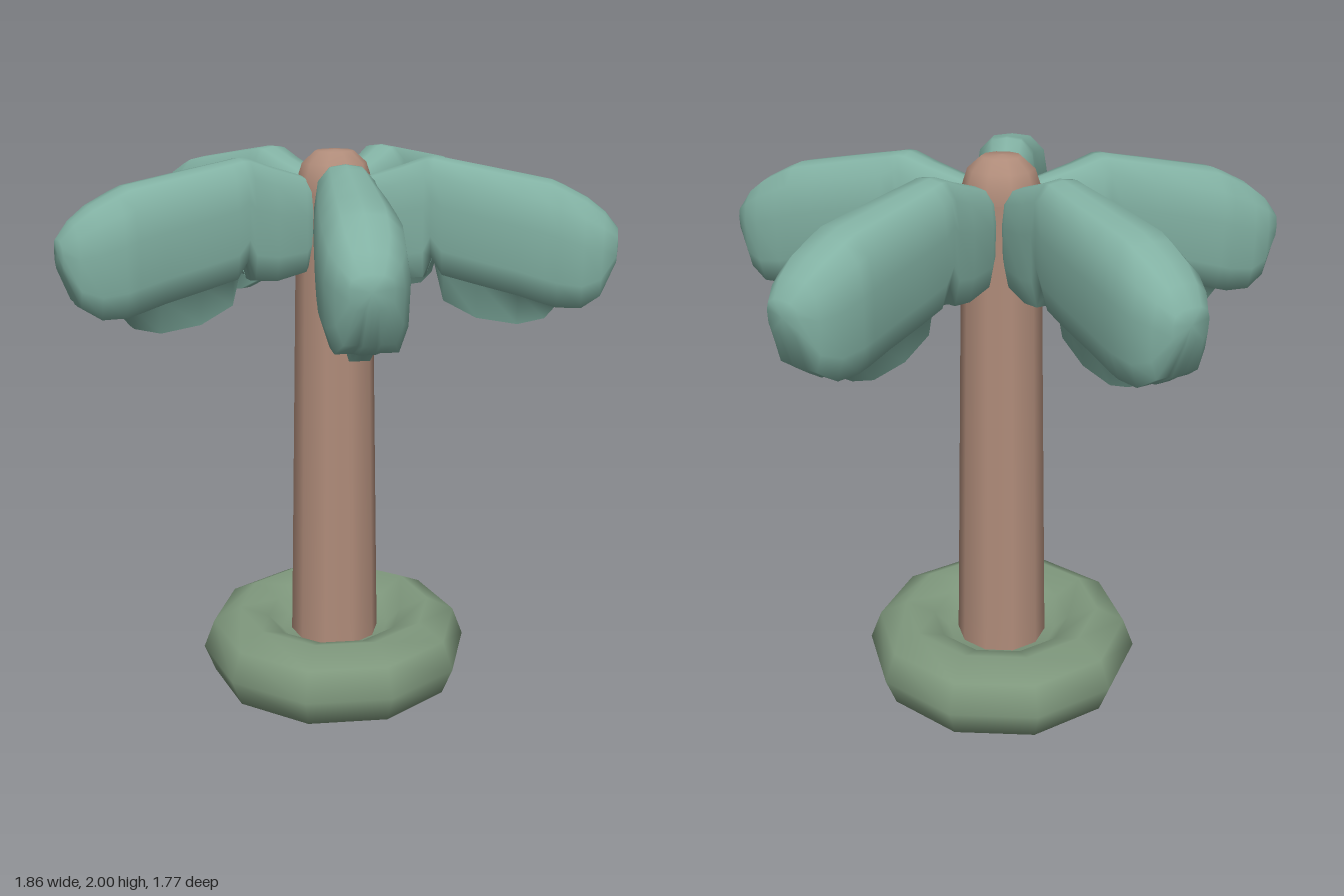
import * as THREE from 'three';

const mat = (name, color) => {
  const m = new THREE.MeshStandardMaterial({ color });
  m.name = name;
  return m;
};

// Turned part with ten sides, corners on the x axis
function turned(name, points, material) {
  const profile = points.map(([r, y]) => new THREE.Vector2(r, y));
  const mesh = new THREE.Mesh(new THREE.LatheGeometry(profile, 10, Math.PI / 2), material);
  mesh.name = name;
  return mesh;
}

// Stations along a frond: distance, half width, top, lower edge of pod, bottom of keel
const STATIONS = [
  [0.05, 0.045, 1.88, 1.74, 1.74],
  [0.13, 0.075, 1.92, 1.60, 1.59],
  [0.24, 0.09, 1.955, 1.58, 1.57],
  [0.32, 0.10, 1.985, 1.59, 1.58],
  [0.345, 0.102, 1.985, 1.66, 1.65],
  [0.385, 0.107, 1.978, 1.60, 1.50],
  [0.50, 0.12, 1.958, 1.575, 1.445],
  [0.64, 0.13, 1.933, 1.545, 1.43],
  [0.73, 0.134, 1.917, 1.52, 1.455],
  [0.77, 0.132, 1.90, 1.51, 1.505],
  [0.85, 0.125, 1.86, 1.51, 1.505],
  [0.91, 0.10, 1.815, 1.55, 1.545],
  [0.955, 0.065, 1.76, 1.66, 1.655],
];

// Half outline of a frond: rounded pod above a narrow keel
function section([, w, t, f, b]) {
  const h = t - f;
  const half = [
    [0.5 * w, t - 0.02 * h], [0.88 * w, t - 0.15 * h], [w, t - 0.4 * h],
    [0.96 * w, f + 0.22 * h], [0.75 * w, f], [0.32 * w, f], [0.2 * w, b],
  ];
  const left = half.map(([x, y]) => [-x, y]);
  return [[0, t], ...left, [0, b], ...half.reverse()];
}

function frondGeometry() {
  const pos = [];
  const index = [];
  const rings = STATIONS.map(section);
  const n = rings[0].length;
  rings.forEach((ring, i) => ring.forEach(([x, y]) => pos.push(x, y, STATIONS[i][0])));
  for (let i = 0; i < rings.length - 1; i++) {
    for (let j = 0; j < n; j++) {
      const k = (j + 1) % n;
      const a = i * n + j, b = i * n + k, c = b + n, d = a + n;
      index.push(a, b, c, a, c, d);
    }
  }
  // Close the root and the tip
  for (const i of [0, rings.length - 1]) {
    const [r, , t, f] = STATIONS[i];
    const centre = pos.length / 3;
    pos.push(0, (t + f) / 2, r + (i ? 0.003 : 0));
    for (let j = 0; j < n; j++) {
      const a = i * n + j, b = i * n + (j + 1) % n;
      if (i) index.push(centre, a, b);
      else index.push(centre, b, a);
    }
  }
  const g = new THREE.BufferGeometry();
  g.setAttribute('position', new THREE.Float32BufferAttribute(pos, 3));
  g.setIndex(index);
  g.computeVertexNormals();
  return g;
}

export function createModel() {
  const model = new THREE.Group();
  model.name = 'palmTree';
  const bark = mat('bark brown', 0xb08c7a);
  const leaf = mat('leaf teal', 0x82b1a3);
  const moss = mat('base green', 0x7f987d);

  const tree = new THREE.Group();
  tree.name = 'tree';
  tree.position.z = -0.075;
  model.add(tree);

  // Puffy ring base, dished above and below
  tree.add(turned('base', [
    [0, 0.12], [0.2, 0.1], [0.25, 0.045], [0.355, 0], [0.455, 0.055], [0.495, 0.157],
    [0.455, 0.262], [0.355, 0.313], [0.25, 0.27], [0.2, 0.22], [0, 0.2],
  ], moss));

  // Tapered trunk with a domed top
  tree.add(turned('trunk', [[0.163, 0.19], [0.16, 0.31], [0.136, 1.57], [0.13, 1.86]], bark));
  tree.add(turned('crown', [[0.13, 1.86], [0.128, 1.9], [0.11, 1.955], [0.065, 1.995], [0, 2]], bark));

  // Five fronds around the crown
  const geometry = frondGeometry();
  for (let i = 0; i < 5; i++) {
    const frond = new THREE.Mesh(geometry, leaf);
    frond.name = 'frond' + (i + 1);
    frond.rotation.y = (i * Math.PI * 2) / 5;
    tree.add(frond);
  }
  return model;
}
